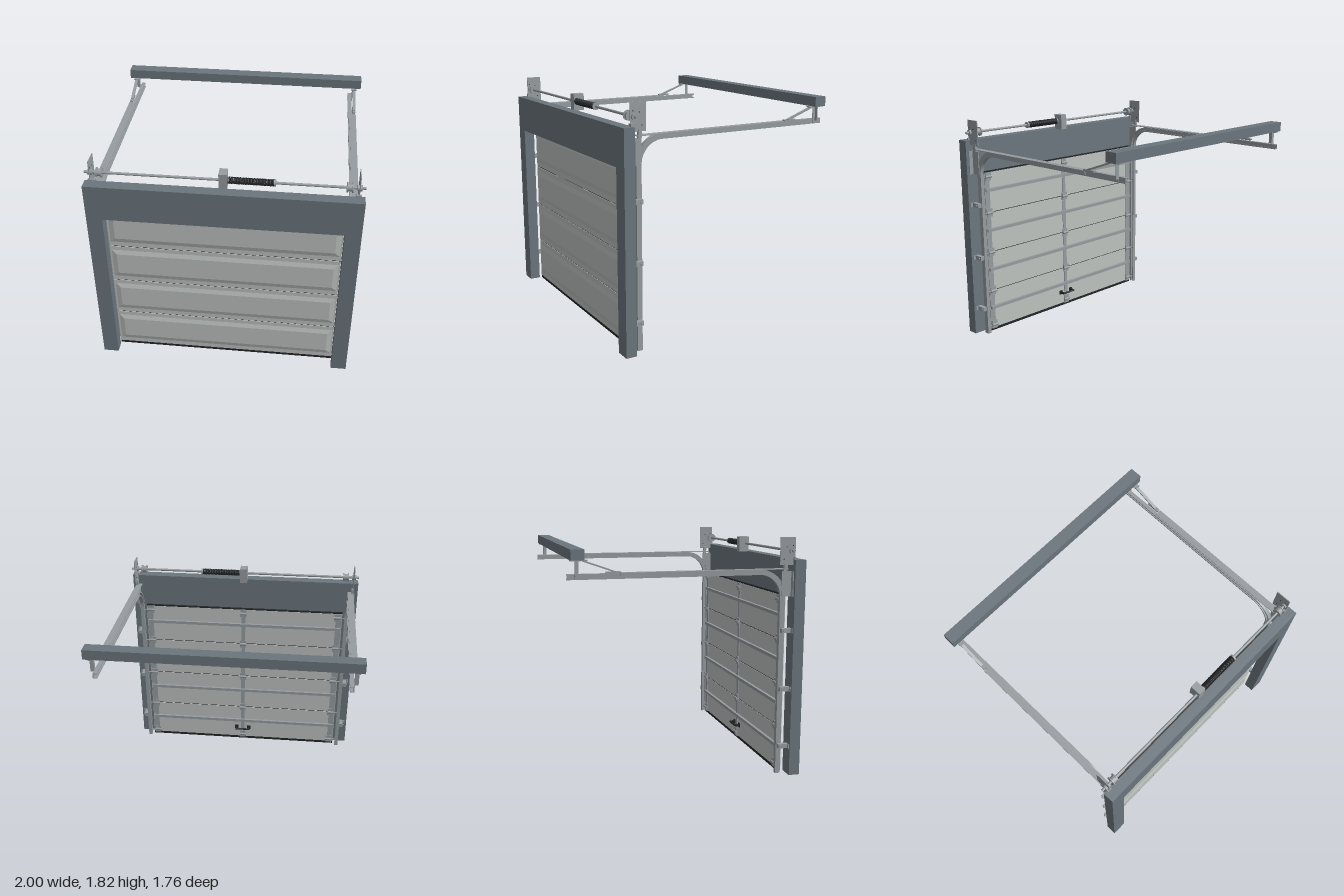
import * as THREE from 'three';

const mat = (name, color, extra = {}) => {
  const m = new THREE.MeshStandardMaterial({ color, ...extra });
  m.name = name;
  return m;
};

export function createModel() {
  const model = new THREE.Group();
  model.name = 'sectionalGarageDoor';
  const frameMat = mat('slateFrame', 0x6b767d);
  const doorMat = mat('paleDoor', 0xbdc2bf);
  const steel = mat('galvanisedSteel', 0x969c9f);
  const dark = mat('blackRubber', 0x222527);

  const add = (name, geo, material, x = 0, y = 0, z = 0, parent = model) => {
    const mesh = new THREE.Mesh(geo, material);
    mesh.name = name;
    mesh.position.set(x, y, z);
    parent.add(mesh);
    return mesh;
  };
  // Box given by its limits on each axis
  const box = (name, material, [x0, x1], [y0, y1], [z0, z1], parent) =>
    add(name, new THREE.BoxGeometry(Math.abs(x1 - x0), y1 - y0, z1 - z0), material,
      (x0 + x1) / 2, (y0 + y1) / 2, (z0 + z1) / 2, parent);
  // Cylinder lying along x
  const rod = (name, material, r, len, x, y, z, parent, sides = 20) =>
    add(name, new THREE.CylinderGeometry(r, r, len, sides).rotateZ(Math.PI / 2), material, x, y, z, parent);
  // Side profile (drawn with u = -z, v = y), extruded between x0 and x1
  const sideExtrude = (name, material, shape, x0, x1, parent) => {
    const w = Math.abs(x1 - x0);
    const geo = new THREE.ExtrudeGeometry(shape, { depth: w, bevelEnabled: false, curveSegments: 16 });
    return add(name, geo.rotateY(Math.PI / 2), material, Math.min(x0, x1), 0, 0, parent);
  };
  const group = (name) => {
    const g = new THREE.Group();
    g.name = name;
    model.add(g);
    return g;
  };

  // Portal around the opening
  const portal = new THREE.Shape([[-1, 0], [-0.88, 0], [-0.88, 1.37], [0.88, 1.37], [0.88, 0], [1, 0], [1, 1.655], [-1, 1.655]]
    .map(([x, y]) => new THREE.Vector2(x, y)));
  add('portalFrame', new THREE.ExtrudeGeometry(portal, { depth: 0.085, bevelEnabled: false }), frameMat, 0, 0, 0.795);

  // Door leaf: four panels with a raised field, strut and stiles behind
  const door = group('doorLeaf');
  const H = 0.3415, bottom = 0.02;
  const field = new THREE.Shape();
  field.moveTo(-0.83, 0.08).lineTo(0.83, 0.08).lineTo(0.83, 0.265).lineTo(-0.83, 0.265).closePath();
  for (let i = 0; i < 4; i++) {
    const y = bottom + i * H;
    box('doorPanel', doorMat, [-0.88, 0.88], [y + 0.003, y + H - 0.003], [0.745, 0.776], door);
    add('raisedField', new THREE.ExtrudeGeometry(field, {
      depth: 0.002, bevelThickness: 0.01, bevelSize: 0.038, bevelSegments: 1,
    }), doorMat, 0, y, 0.774, door);
    box('strut', steel, [-0.87, 0.87], [y + 0.18, y + 0.205], [0.722, 0.745], door);
    if (i > 0) box('seamSeal', dark, [-0.879, 0.879], [y - 0.004, y + 0.004], [0.748, 0.772], door);
  }
  box('bottomSeal', dark, [-0.88, 0.88], [0, 0.023], [0.745, 0.775], door);
  box('topSeal', dark, [-0.88, 0.88], [1.382, 1.392], [0.747, 0.768], door);
  for (const [x, w] of [[-0.85, 0.05], [0, 0.035], [0.85, 0.05]]) {
    box('stile', steel, [x - w / 2, x + w / 2], [0.023, 1.384], [0.739, 0.746], door);
  }

  // Hinges and rollers
  const hinges = group('hinges');
  for (let i = 0; i < 5; i++) {
    const y = [0.055, bottom + H, bottom + 2 * H, bottom + 3 * H, 1.35][i];
    for (const x of [-0.84, 0, 0.84]) {
      box('hingePlate', steel, [x - 0.028, x + 0.028], [y - 0.035, y + 0.035], [0.732, 0.741], hinges);
      rod('hingeBarrel', steel, 0.011, 0.06, x, y, 0.729, hinges, 12);
      if (x) {
        rod('rollerStem', steel, 0.005, 0.11, Math.sign(x) * 0.86, y, 0.73, hinges, 8);
        rod('roller', steel, 0.014, 0.014, Math.sign(x) * 0.915, y, 0.73, hinges, 14);
      }
    }
  }

  // Pull handle on the inside
  const handle = group('handle');
  rod('handleGrip', dark, 0.008, 0.13, 0, 0.13, 0.703, handle, 12);
  for (const x of [-0.06, 0.06]) {
    box('handlePost', dark, [x - 0.008, x + 0.008], [0.122, 0.138], [0.703, 0.745], handle);
    box('handleFoot', dark, [x - 0.016, x + 0.016], [0.112, 0.148], [0.738, 0.745], handle);
  }

  // Strip that follows the track between radii r0 and r1 of its bend
  const CZ = 0.545, CY = 1.38;
  const trackStrip = (r0, r1) => {
    const s = new THREE.Shape();
    s.moveTo(-CZ - r1, 0).lineTo(-CZ - r1, CY);
    s.absarc(-CZ, CY, r1, Math.PI, Math.PI / 2, true);
    s.lineTo(0.88, CY + r1).lineTo(0.88, CY + r0).lineTo(-CZ, CY + r0);
    s.absarc(-CZ, CY, r0, Math.PI / 2, Math.PI, false);
    s.lineTo(-CZ - r0, 0).closePath();
    return s;
  };
  // Strap between two (z, y) points
  const strap = ([za, ya], [zb, yb], t) => new THREE.Shape([
    new THREE.Vector2(-za, ya), new THREE.Vector2(-zb, yb),
    new THREE.Vector2(-zb, yb + t), new THREE.Vector2(-za, ya + t)]);

  for (const s of [-1, 1]) {
    const side = s > 0 ? 'left' : 'right';
    const X = (a, b) => [s * a, s * b];

    // C-shaped track, open toward the door
    const track = group(side + 'Track');
    sideExtrude('trackWeb', steel, trackStrip(0.165, 0.205), ...X(0.926, 0.931), track);
    for (const [r0, r1] of [[0.165, 0.17], [0.2, 0.205]])
      sideExtrude('trackFlange', steel, trackStrip(r0, r1), ...X(0.9, 0.928), track);
    for (const [r0, r1] of [[0.165, 0.175], [0.195, 0.205]])
      sideExtrude('trackLip', steel, trackStrip(r0, r1), ...X(0.9, 0.903), track);
    box('trackAngleTop', steel, X(0.91, 0.962), [1.584, 1.59], [-0.5, 0.76], track);
    box('trackAngleWeb', steel, X(0.931, 0.936), [1.55, 1.588], [-0.5, 0.55], track);

    // Wall clips and corner bracket
    const brackets = group(side + 'Brackets');
    for (const y of [0.225, 0.675, 1.125]) {
      box('wallClip', steel, X(0.931, 0.965), [y - 0.017, y + 0.017], [0.717, 0.795], brackets);
      rod('clipBolt', steel, 0.008, 0.012, s * 0.968, y, 0.735, brackets, 6);
      box('clipFoot', steel, X(0.931, 0.985), [y - 0.017, y + 0.017], [0.788, 0.795], brackets);
    }
    box('cornerBracket', steel, X(0.936, 0.942), [1.38, 1.57], [0.715, 0.796], brackets);
    box('cornerFoot', steel, X(0.936, 0.975), [1.38, 1.57], [0.789, 0.796], brackets);
    box('bracketNeck', steel, X(0.94, 0.962), [1.57, 1.63], [0.722, 0.75], brackets);

    // End bearing plate and cable drum
    const bearing = group(side + 'Bearing');
    box('bearingPlate', steel, X(0.953, 0.959), [1.617, 1.82], [0.69, 0.81], bearing);
    box('bearingFoot', steel, X(0.94, 0.972), [1.655, 1.675], [0.795, 0.812], bearing);
    rod('bearingHub', steel, 0.022, 0.035, s * 0.957, 1.72, 0.782, bearing);
    rod('cableDrum', steel, 0.028, 0.04, s * 0.89, 1.72, 0.782, bearing, 24);
    for (const x of [0.87, 0.908]) rod('drumRim', steel, 0.036, 0.008, s * x, 1.72, 0.782, bearing, 24);
    for (const [y, z] of [[1.75, 0.74], [1.66, 0.72], [1.76, 0.79]])
      rod('plateBolt', dark, 0.004, 0.012, s * 0.956, y, z, bearing, 8);

    // Hanger from the rear beam
    const hanger = group(side + 'Hanger');
    box('hangerPost', steel, X(0.931, 0.937), [1.55, 1.685], [-0.825, -0.797], hanger);
    box('hangerPostFlange', steel, X(0.931, 0.96), [1.57, 1.685], [-0.825, -0.819], hanger);
    box('hangerCap', steel, X(0.925, 0.965), [1.677, 1.686], [-0.86, -0.74], hanger);
    sideExtrude('diagonalBrace', steel, strap([-0.54, 1.59], [-0.77, 1.672], 0.012), ...X(0.934, 0.958), hanger);
    box('braceFoot', steel, X(0.934, 0.958), [1.586, 1.6], [-0.61, -0.505], hanger);
  }

  // Rear beam
  box('rearBeam', frameMat, [-1, 1], [1.685, 1.76], [-0.862, -0.765]);

  // Torsion shaft, spring and centre bracket
  const torsion = group('torsionAssembly');
  rod('shaft', steel, 0.01, 2, 0, 1.72, 0.782, torsion, 16);
  box('centreBracket', steel, [-0.03, 0.03], [1.65, 1.777], [0.722, 0.806], torsion);
  const coil = [];
  const turns = 30;
  for (let i = 0; i <= turns * 10; i++) {
    const a = (i / 10) * Math.PI * 2;
    coil.push(new THREE.Vector3(0.035 + (0.33 * i) / (turns * 10), Math.cos(a) * 0.021, Math.sin(a) * 0.021));
  }
  add('spring', new THREE.TubeGeometry(new THREE.CatmullRomCurve3(coil), turns * 12, 0.0054, 6), dark, 0, 1.72, 0.782, torsion);
  rod('springCone', steel, 0.026, 0.014, 0.368, 1.72, 0.782, torsion);
  rod('springConeInner', steel, 0.024, 0.014, 0.036, 1.72, 0.782, torsion);

  return model;
}
